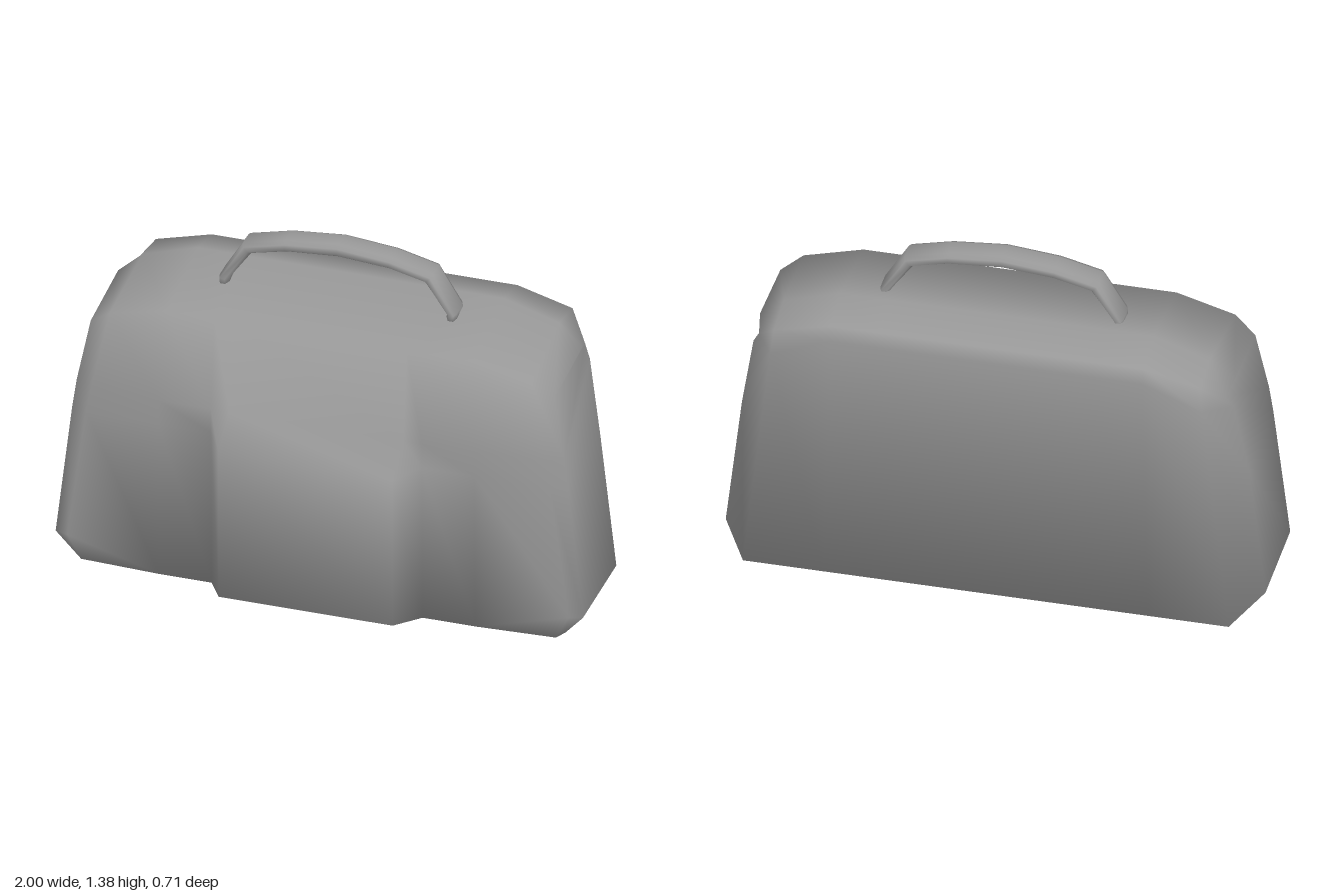
import * as THREE from 'three';
import { mergeVertices } from 'three/addons/utils/BufferGeometryUtils.js';

const material = new THREE.MeshStandardMaterial({ color: 0x999999 });

// Smooth normals that weigh each face by its angle at the vertex, not by its area
function smoothByAngle(geometry) {
  const index = geometry.index.array;
  const position = geometry.attributes.position;
  const normals = Array.from({ length: position.count }, () => new THREE.Vector3());
  const face = new THREE.Vector3();
  for (let i = 0; i < index.length; i += 3) {
    const ids = [0, 1, 2].map((k) => index[i + k]);
    const p = ids.map((id) => new THREE.Vector3().fromBufferAttribute(position, id));
    THREE.Triangle.getNormal(p[0], p[1], p[2], face);
    ids.forEach((id, k) => {
      const u = p[(k + 1) % 3].clone().sub(p[k]);
      const v = p[(k + 2) % 3].clone().sub(p[k]);
      normals[id].addScaledVector(face, u.angleTo(v));
    });
  }
  const flat = normals.flatMap((n) => n.normalize().toArray());
  geometry.setAttribute('normal', new THREE.Float32BufferAttribute(flat, 3));
}

// Skin a list of equal-length closed rings, running from +x to -x, and close both ends.
// Each ring starts underneath, goes up the front, over the top and down the back.
function loft(name, rings) {
  const n = rings[0].length;
  const index = [];
  for (let i = 0; i < rings.length - 1; i++) {
    for (let j = 0; j < n; j++) {
      const k = (j + 1) % n;
      const a = i * n + j, b = i * n + k, c = a + n, d = b + n;
      index.push(a, b, d, a, d, c);
    }
  }
  // End caps: level strips between the front and the back of the ring
  const last = (rings.length - 1) * n;
  const capTri = (a, b, c) => index.push(a, c, b, last + a, last + b, last + c);
  for (let lo = 1; lo < n / 2; lo++) {
    const hi = n - lo;
    capTri(lo - 1, lo, hi);
    if (lo > 1) capTri(lo - 1, hi, hi + 1);
  }
  capTri(n / 2 - 1, n / 2, n / 2 + 1);

  let geometry = new THREE.BufferGeometry();
  geometry.setAttribute('position', new THREE.Float32BufferAttribute(rings.flat(2), 3));
  geometry.setIndex(index);
  geometry = mergeVertices(geometry);
  smoothByAngle(geometry);
  const mesh = new THREE.Mesh(geometry, material);
  mesh.name = name;
  return mesh;
}

const mirror = (ring) => ring.map(([x, y, z]) => [-x, y, z]);

// Body with the front pocket drawn out of its front wall.
// Repeated points let a row of the side wall run out into a single edge.
function createBody() {
  const side = [
    [0.91, 0.01, -0.17], [0.93, 0.04, 0.18], [1, 0.12, 0.19], [0.94, 0.65, 0.18],
    [0.925, 0.76, 0.175], [0.88, 1.0, 0.15], [0.88, 1.03, -0.17], [0.865, 1.0, -0.25],
    [0.89, 0.95, -0.23], [0.94, 0.65, -0.2], [1, 0.12, -0.2], [0.945, 0.055, -0.2],
  ];
  const corner = [
    [0.88, 0, -0.17], [0.9, 0.025, 0.2], [0.95, 0.12, 0.205], [0.88, 0.65, 0.205],
    [0.86, 0.76, 0.2], [0.8, 1.06, 0.175], [0.79, 1.11, -0.18], [0.79, 1.085, -0.335],
    [0.8, 0.99, -0.35], [0.8, 0.99, -0.35], [0.9, 0.06, -0.355], [0.9, 0.06, -0.355],
  ];
  const panel = [
    [0.6, 0, -0.17], [0.6, 0.025, 0.215], [0.6, 0.025, 0.215], [0.6, 0.66, 0.225],
    [0.6, 0.76, 0.225], [0.58, 1.115, 0.185], [0.58, 1.175, -0.18], [0.58, 1.14, -0.34],
    [0.58, 1.08, -0.35], [0.58, 1.08, -0.35], [0.6, 0.06, -0.355], [0.6, 0.06, -0.355],
  ];
  const pocketRoot = panel.map(([, y, z]) => [0.4, y, z]);
  const pocketEdge = panel.map(([, y, z]) => [0.33, y, z]);
  pocketEdge[2] = [0.33, 0.055, 0.35];
  pocketEdge[3] = [0.33, 0.665, 0.355];
  const half = [side, corner, panel, pocketRoot, pocketEdge];
  return loft('body', [...half, ...half.map(mirror).reverse()]);
}

// Carrying handle: a flat, rounded strap between an inner and an outer outline
function createHandle() {
  const outline = [ // outer x, y, inner x, y
    [0.45, 1.14, 0.41, 1.14], [0.45, 1.17, 0.413, 1.165], [0.36, 1.32, 0.33, 1.283],
    [0.2, 1.36, 0.195, 1.315], [0, 1.38, 0, 1.33],
  ];
  const section = [ // height across the strap, z
    [0, -0.065], [0, -0.03], [0.3, -0.01], [0.8, -0.01], [1, -0.03],
    [1, -0.065], [1, -0.1], [0.8, -0.12], [0.3, -0.12], [0, -0.1],
  ];
  const half = outline.map(([ox, oy, ix, iy]) =>
    section.map(([t, z]) => [ix + (ox - ix) * t, iy + (oy - iy) * t, z]));
  return loft('handle', [...half, ...half.slice(0, -1).map(mirror).reverse()]);
}

export function createModel() {
  const bag = new THREE.Group();
  bag.name = 'bag';
  bag.add(createBody(), createHandle());
  return bag;
}
